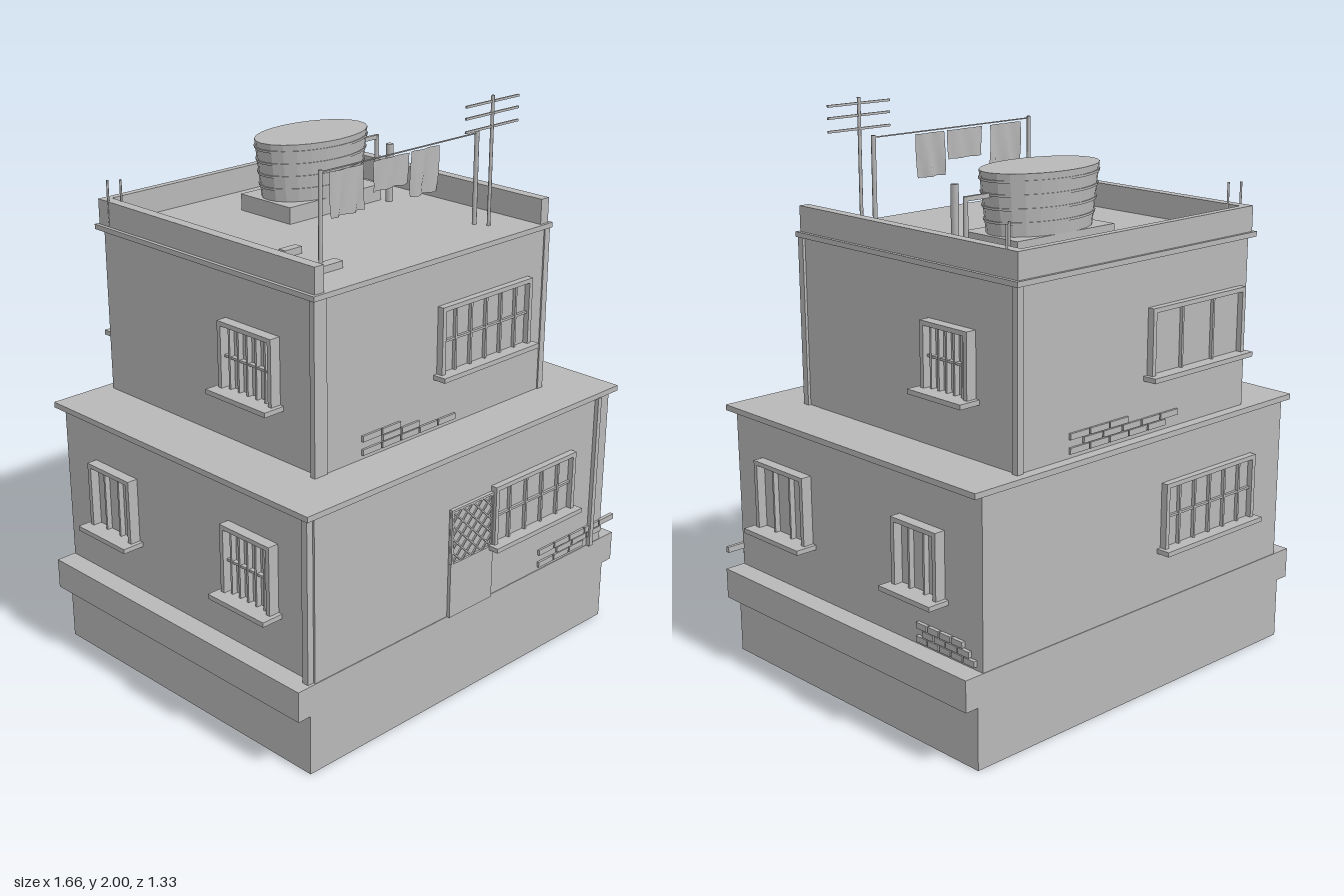
import * as THREE from 'three';
import { mergeGeometries } from 'three/addons/utils/BufferGeometryUtils.js';

const plaster = new THREE.MeshStandardMaterial({ color: 0xb8b8b8 });
plaster.name = 'plasterGrey';
const cloth = new THREE.MeshStandardMaterial({ color: 0xb8b8b8, side: THREE.DoubleSide });
cloth.name = 'clothGrey';

// The whole house is slightly turned and stretched in x: a constant skew of the plan
const SKEW = new THREE.Matrix4().set(
  1, 0, 0.069, 0,
  0, 1, 0, 0,
  -0.0258, 0, 1, 0,
  0, 0, 0, 1);

// Box from min/max corners
function box(x0, x1, y0, y1, z0, z1) {
  return new THREE.BoxGeometry(x1 - x0, y1 - y0, z1 - z0)
    .translate((x0 + x1) / 2, (y0 + y1) / 2, (z0 + z1) / 2);
}

// Thin square bar between two points of a wall plane, at depth d
function bar(xa, ya, xb, yb, t, d) {
  const len = Math.hypot(xb - xa, yb - ya);
  return new THREE.BoxGeometry(len, t, t)
    .rotateZ(Math.atan2(yb - ya, xb - xa))
    .translate((xa + xb) / 2, (ya + yb) / 2, d);
}

function pole(x, z, y0, y1, r, sides = 8) {
  return new THREE.CylinderGeometry(r, r, y1 - y0, sides).translate(x, (y0 + y1) / 2, z);
}

// Wall planes: outward angle, distance from the axis, depth stretch
const lower = { front: [0, 0.617, 1], back: [Math.PI, 0.617, 1], right: [Math.PI / 2, 0.713, 1.6], left: [-Math.PI / 2, 0.713, 1.6] };
const upper = { front: [0, 0.445, 1], back: [Math.PI, 0.59, 1], right: [Math.PI / 2, 0.54, 1.6], left: [-Math.PI / 2, 0.525, 1.6] };

// Wall-local geometry (x along, z outward) moved onto a wall; "at" is the house coordinate along it
function onWall(parts, [angle, dist, stretch], at, side) {
  const along = side === 'right' || side === 'back' ? -at : at;
  return mergeGeometries(parts).scale(1, 1, stretch).translate(along, 0, dist).rotateY(angle);
}

// Window: raised frame, pane, sill, upright bars and cross bars
function windowParts(w, y0, y1, uprights, crosses) {
  const h = w / 2, f = 0.016;
  const p = [
    box(-h, -h + f, y0, y1, -0.01, 0.024), box(h - f, h, y0, y1, -0.01, 0.024),
    box(-h + f, h - f, y1 - f, y1, -0.01, 0.024),
    box(-h - 0.015, h + 0.015, y0 - 0.005, y0 + 0.012, -0.01, 0.05),
    box(-h + f, h - f, y0, y1 - f, -0.002, 0.004),
  ];
  for (let i = 1; i <= uprights; i++) {
    const x = -h + (w * i) / (uprights + 1);
    p.push(box(x - 0.004, x + 0.004, y0 + 0.012, y1 - f, 0.003, 0.016));
  }
  for (let i = 1; i <= crosses; i++) {
    const y = y0 + ((y1 - y0) * i) / (crosses + 1);
    p.push(box(-h + f, h - f, y - 0.004, y + 0.004, 0.003, 0.014));
  }
  return p;
}

// Exposed bricks: each row is [start, count, y]
function brickParts(rows, w) {
  const p = [];
  for (const [x, n, y] of rows) for (let i = 0; i < n; i++) {
    p.push(box(x + i * w, x + (i + 1) * w - 0.006, y, y + 0.021, -0.005, 0.008));
  }
  return p;
}

export function createModel() {
  const house = new THREE.Group();
  house.name = 'house';
  const add = (name, geo, mat = plaster) => {
    const g = Array.isArray(geo) ? mergeGeometries(geo) : geo;
    const mesh = new THREE.Mesh(g.applyMatrix4(SKEW), mat);
    mesh.name = name;
    house.add(mesh);
  };

  // Main masses
  add('foundation', box(-0.737, 0.737, 0, 0.33, -0.619, 0.619));
  add('foundationBand', box(-0.787, 0.787, 0.22, 0.331, -0.6195, 0.6195));
  add('lowerStorey', box(-0.713, 0.713, 0.33, 0.92, -0.617, 0.617));
  add('lowerRoofSlab', box(-0.75, 0.75, 0.918, 0.938, -0.627, 0.627));
  add('upperStorey', box(-0.525, 0.54, 0.938, 1.54, -0.59, 0.445));
  add('upperRoofSlab', box(-0.555, 0.555, 1.533, 1.551, -0.602, 0.456));

  // Parapet on three sides, open at the front
  add('parapet', [
    box(-0.542, -0.504, 1.55, 1.64, -0.592, 0.446),
    box(0.504, 0.542, 1.55, 1.64, -0.592, 0.446),
    box(-0.504, 0.504, 1.55, 1.64, -0.592, -0.566),
  ]);

  // Corner drainpipes
  add('drainpipes', [
    box(0.637, 0.655, 0.33, 0.92, 0.61, 0.632),
    box(-0.737, -0.708, 0.33, 0.92, 0.585, 0.61),
    box(-0.549, -0.495, 0.938, 1.535, 0.43, 0.45),
    box(0.525, 0.55, 0.938, 1.535, 0.425, 0.45),
    box(0.525, 0.55, 0.938, 1.535, -0.598, -0.575),
  ]);

  // Windows: storey, side, position, width, bottom, top, uprights, cross bars
  const windows = [
    [lower, 'front', 0.307, 0.42, 0.525, 0.755, 4, 1],
    [lower, 'right', 0.344, 0.265, 0.512, 0.77, 2, 0],
    [lower, 'right', -0.343, 0.21, 0.517, 0.76, 2, 0],
    [lower, 'left', -0.345, 0.22, 0.512, 0.76, 2, 0],
    [lower, 'left', 0.34, 0.23, 0.512, 0.77, 5, 1],
    [lower, 'back', -0.322, 0.46, 0.515, 0.76, 5, 1],
    [upper, 'front', 0.227, 0.445, 1.128, 1.378, 5, 1],
    [upper, 'right', -0.299, 0.215, 1.13, 1.365, 5, 1],
    [upper, 'left', 0.146, 0.25, 1.12, 1.365, 5, 1],
    [upper, 'back', -0.265, 0.46, 1.13, 1.37, 2, 0],
  ];
  for (const [storey, side, at, w, y0, y1, u, c] of windows) {
    add(side + 'Window', onWall(windowParts(w, y0, y1, u, c), storey[side], at, side));
  }

  // Door: solid lower panel, lattice in the upper half
  const door = [box(-0.105, 0.105, 0.33, 0.525, -0.005, 0.012), box(-0.105, 0.105, 0.525, 0.735, -0.005, 0.005)];
  for (const x of [-0.1, 0.1]) door.push(bar(x, 0.525, x, 0.735, 0.008, 0.009));
  for (const y of [0.529, 0.731]) door.push(bar(-0.105, y, 0.105, y, 0.008, 0.009));
  for (let i = 0; i < 4; i++) for (let j = 0; j < 4; j++) {
    const x = -0.1 + i * 0.05, y = 0.53 + j * 0.05;
    door.push(bar(x, y, x + 0.05, y + 0.05, 0.005, 0.009), bar(x, y + 0.05, x + 0.05, y, 0.005, 0.009));
  }
  add('door', onWall(door, lower.front, -0.003, 'front'));

  // Patches of bare brick
  add('frontLowerBricks', onWall(brickParts([[0.36, 3, 0.344], [0.46, 3, 0.368], [0.36, 5, 0.392]], 0.085), lower.front, 0, 'front'));
  add('rightLowerBricks', onWall(brickParts([[0, 5, 0.344], [0.03, 4, 0.368], [0, 4, 0.392]], 0.055), lower.right, -0.322, 'right'));
  add('frontUpperBricks', onWall(brickParts([[-0.34, 5, 0.953], [-0.25, 2, 0.977], [-0.34, 2, 1.001]], 0.088), upper.front, 0, 'front'));
  add('backUpperBricks', onWall(brickParts([[-0.32, 5, 0.953], [-0.26, 5, 0.977], [-0.32, 3, 1.001]], 0.09), upper.back, 0, 'back'));

  // Water tank on a pad: tapered body with hoops
  const tx = 0.125, tz = -0.262;
  const radius = (y) => 0.205 + ((y - 1.61) / 0.205) * 0.026;
  const ring = (y0, y1, extra) => {
    const g = new THREE.CylinderGeometry(radius(y1) + extra, radius(y0) + extra, y1 - y0, 24)
      .scale(1, 1, 0.61).translate(tx, (y0 + y1) / 2, tz).toNonIndexed();
    g.computeVertexNormals();
    return g;
  };
  add('waterTank', ring(1.61, 1.815, 0));
  add('tankHoops', [1.65, 1.695, 1.74, 1.785].map((y) => ring(y, y + 0.008, 0.005)));
  add('tankPad', box(tx - 0.218, tx + 0.218, 1.55, 1.61, tz - 0.122, tz + 0.122));
  add('tankPipes', [
    box(0.32, 0.45, 1.735, 1.75, tz - 0.006, tz + 0.006),
    pole(0.445, tz, 1.55, 1.75, 0.008),
    pole(0.353, -0.111, 1.55, 1.76, 0.013),
  ]);

  // Bare rebar at the rear corners
  const rebar = [];
  for (const x of [-0.54, -0.505, 0.503, 0.538]) for (const z of [-0.515, -0.54]) {
    if ((z < -0.53) === (Math.abs(x) > 0.52)) rebar.push(pole(x, z, 1.55, 1.715, 0.004, 6));
  }
  add('rebar', rebar);

  // Loose blocks on the roof
  add('roofBlocks', [
    box(-0.46, -0.39, 1.55, 1.58, -0.44, -0.4),
    box(-0.357, -0.285, 1.55, 1.575, 0.09, 0.12),
    box(-0.405, -0.297, 1.55, 1.575, 0.28, 0.318),
  ]);

  // Clothes line and hanging cloths
  const lineZ = 0.285;
  add('clothesLine', [
    pole(-0.362, lineZ, 1.55, 1.875, 0.007),
    pole(0.352, lineZ, 1.55, 1.875, 0.008),
    box(-0.362, 0.352, 1.866, 1.87, lineZ - 0.002, lineZ + 0.002),
  ]);
  for (const [x0, x1, y0] of [[-0.318, -0.17, 1.71], [-0.138, 0.025, 1.758], [0.042, 0.165, 1.707]]) {
    const g = new THREE.PlaneGeometry(x1 - x0, 1.86 - y0, 6, 4).translate((x0 + x1) / 2, (y0 + 1.86) / 2, lineZ);
    const p = g.attributes.position;
    for (let i = 0; i < p.count; i++) {
      const drop = (1.86 - p.getY(i)) / 0.15;
      p.setZ(i, lineZ + 0.011 * Math.sin(p.getX(i) * 85 + drop * 2) * (0.4 + 0.6 * drop));
    }
    g.computeVertexNormals();
    add('hangingCloth', g, cloth);
  }

  // Aerial
  const az = 0.33;
  const aerial = [pole(0.373, az, 1.55, 2, 0.006)];
  for (const y of [1.895, 1.94, 1.98]) aerial.push(box(0.243, 0.503, y - 0.004, y + 0.004, az - 0.003, az + 0.003));
  add('aerial', aerial);

  return house;
}
